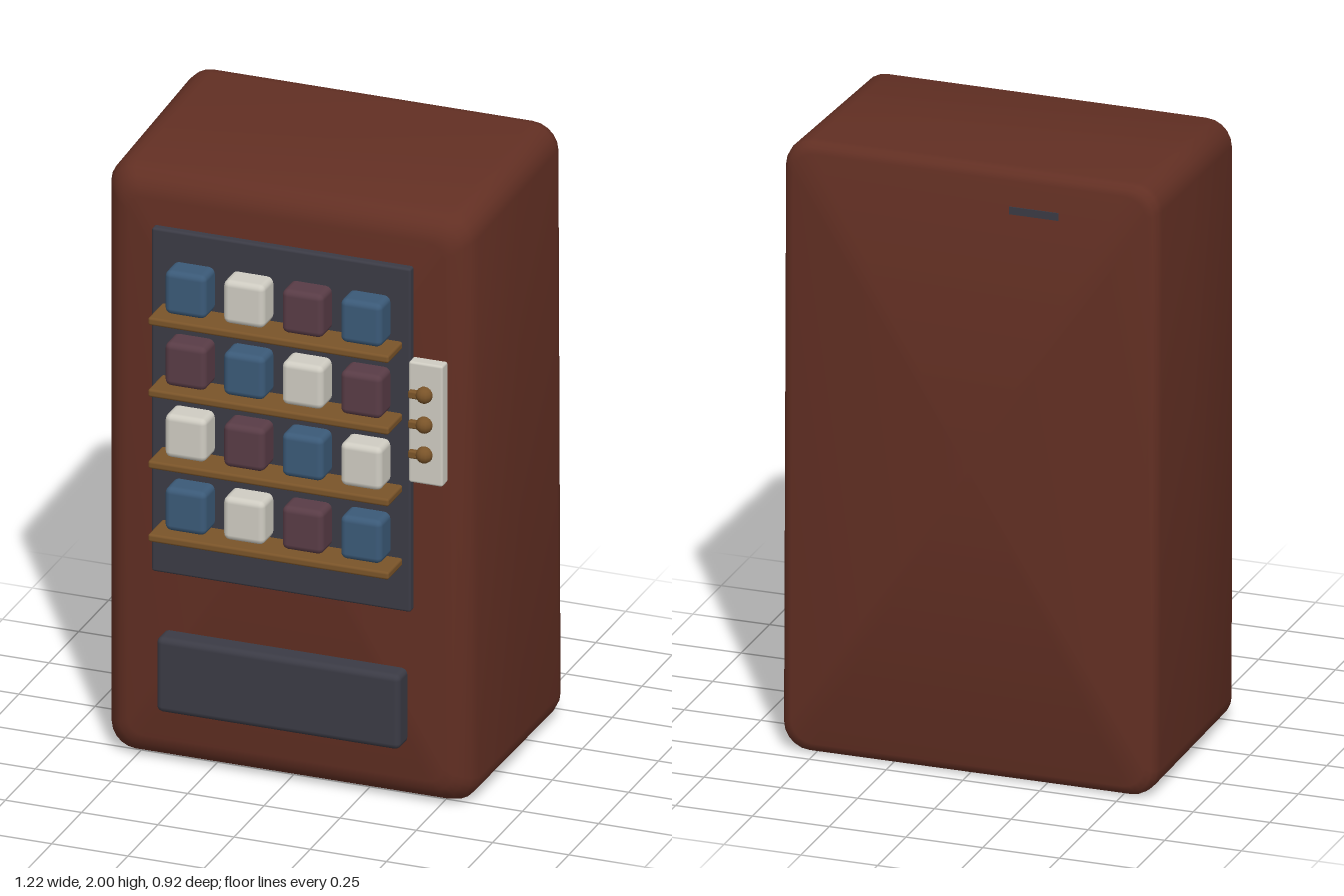
import * as THREE from 'three';
import { toCreasedNormals } from 'three/addons/utils/BufferGeometryUtils.js';
import { RoundedBoxGeometry } from 'three/addons/geometries/RoundedBoxGeometry.js';

const material = (name, color) => {
  const m = new THREE.MeshStandardMaterial({ color });
  m.name = name;
  return m;
};

// Cabinet: rounded-rectangle rings lofted from back to front, softer at the front
function cabinetGeometry() {
  const levels = [ // z, inset
    [-0.45, 0.035], [-0.443, 0.015], [-0.425, 0.003], [-0.40, 0], [-0.1, 0],
    [0.24, 0], [0.27, 0.012], [0.295, 0.032], [0.313, 0.055], [0.32, 0.085],
  ];
  const steps = 5, count = 4 * (steps + 1);
  const pos = [], index = [];
  const add = (x, y, z) => {
    const back = (0.32 - z) / 0.77; // 0 at the front, 1 at the back
    const rise = y / 2;
    pos.push(x * (0.985 + 0.015 * back), y * (0.985 + 0.015 * back),
      z + back * (rise - 0.5) * 0.02);
  };
  for (const [z, inset] of levels) {
    const r = 0.085 - inset * 0.4;
    const w = 0.61 - inset - r, h = 1 - inset - r;
    for (let c = 0; c < 4; c++) {
      const sx = c === 0 || c === 3 ? 1 : -1, sy = c < 2 ? 1 : -1;
      for (let k = 0; k <= steps; k++) {
        const a = (c + k / steps) * Math.PI / 2;
        add(sx * w + r * Math.cos(a), 1 + sy * h + r * Math.sin(a), z);
      }
    }
  }
  const last = levels.length - 1;
  for (let i = 0; i < last; i++) {
    for (let j = 0; j < count; j++) {
      const a = i * count + j, b = i * count + (j + 1) % count;
      index.push(a, b, b + count, a, b + count, a + count);
    }
  }
  // Flat back and front
  const centre = pos.length / 3;
  add(0, 1, levels[0][0]);
  add(0, 1, levels[last][0]);
  for (let j = 0; j < count; j++) {
    const n = (j + 1) % count;
    index.push(centre, n, j, centre + 1, last * count + j, last * count + n);
  }
  const g = new THREE.BufferGeometry();
  g.setAttribute('position', new THREE.Float32BufferAttribute(pos, 3));
  g.setIndex(index);
  return toCreasedNormals(g, 0.7);
}

export function createModel() {
  const group = new THREE.Group();
  group.name = 'vendingMachine';
  const rust = material('rust red', 0x622f23);
  const slate = material('slate', 0x3b3b45);
  const brass = material('brass', 0x7a5429);
  const blue = material('blue', 0x3b5a78);
  const cream = material('cream', 0xcfccc2);
  const plum = material('plum', 0x593c46);

  const part = (name, geometry, mat, x, y, z) => {
    const mesh = new THREE.Mesh(geometry, mat);
    mesh.name = name;
    mesh.position.set(x, y, z);
    group.add(mesh);
    return mesh;
  };
  const block = (w, h, d, r) => new RoundedBoxGeometry(w, h, d, 2, r);

  part('cabinet', cabinetGeometry(), rust, 0, 0, 0);

  // Display window and delivery tray
  part('displayPanel', block(0.85, 1.15, 0.065, 0.008), slate, -0.005, 1.225, 0.3125);
  part('deliveryFlap', block(0.8, 0.25, 0.09, 0.02), slate, 0, 0.325, 0.343);

  // Shelves, each holding four products
  const rows = [
    [1.54, [blue, cream, plum, blue]],
    [1.30, [plum, blue, cream, plum]],
    [1.06, [cream, plum, blue, cream]],
    [0.815, [blue, cream, plum, blue]],
  ];
  const shelf = block(0.79, 0.026, 0.13, 0.008);
  const product = block(0.136, 0.145, 0.11, 0.02);
  for (const [y, colours] of rows) {
    part('shelf', shelf, brass, -0.002, y, 0.396);
    colours.forEach((mat, i) => part('product', product, mat, -0.29 + i * 0.192, y + 0.0875, 0.37));
  }

  // Control plate with three knobs and their small levers
  part('controlPlate', block(0.112, 0.405, 0.06, 0.008), cream, 0.474, 1.295, 0.328);
  const knob = new THREE.SphereGeometry(0.027, 12, 8);
  const lever = block(0.05, 0.026, 0.022, 0.006);
  for (const y of [1.395, 1.295, 1.195]) {
    part('knob', knob, brass, 0.472, y, 0.362);
    part('knobLever', lever, brass, 0.447, y - 0.002, 0.364);
  }

  // Small plate on the back
  part('backPlate', new THREE.BoxGeometry(0.16, 0.025, 0.008), slate, -0.21, 1.87, -0.44);
  return group;
}
